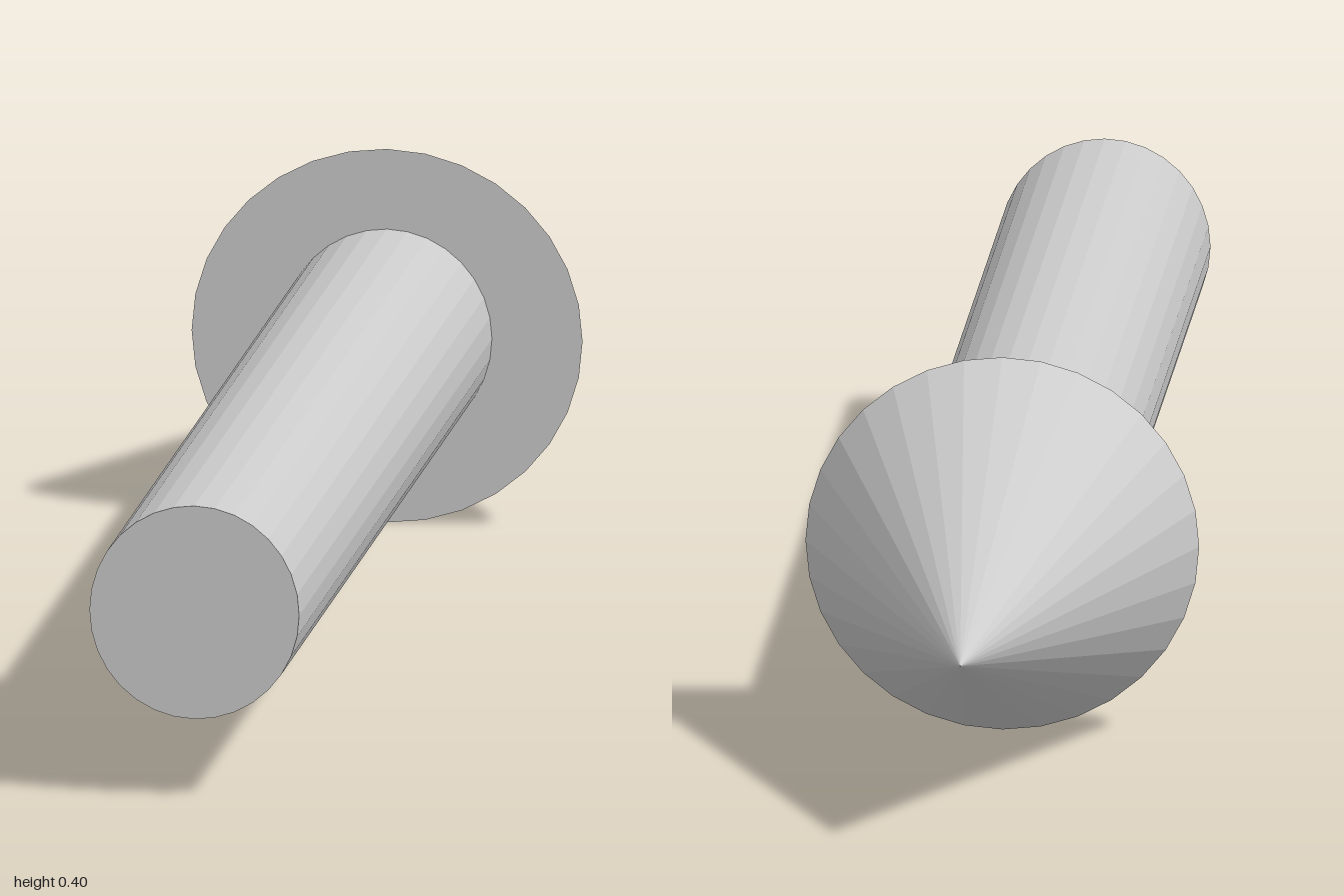
import * as THREE from 'three';

const SIDES = 32;
const CENTER_Y = 0.198;
const TAIL_Z = 1, NECK_Z = -0.417, TIP_Z = -1;

export function createModel() {
  const group = new THREE.Group();
  group.name = 'arrow';
  const material = new THREE.MeshStandardMaterial({ color: 0xcccccc, flatShading: true });

  // Lays an upright round solid along z, its top toward -z, with an elliptical section
  function addPart(name, geometry, rx, ry, zBack, zFront) {
    geometry.rotateX(-Math.PI / 2);
    geometry.scale(rx, ry, zFront - zBack);
    geometry.translate(0, CENTER_Y, (zFront + zBack) / 2);
    const mesh = new THREE.Mesh(geometry, material);
    mesh.name = name;
    group.add(mesh);
  }

  // Shaft
  addPart('shaft', new THREE.CylinderGeometry(1, 1, 1, SIDES), 0.11, 0.113, NECK_Z, TAIL_Z);
  // Pointed head
  addPart('arrowHead', new THREE.ConeGeometry(1, 1, SIDES), 0.205, 0.198, TIP_Z, NECK_Z);

  return group;
}
